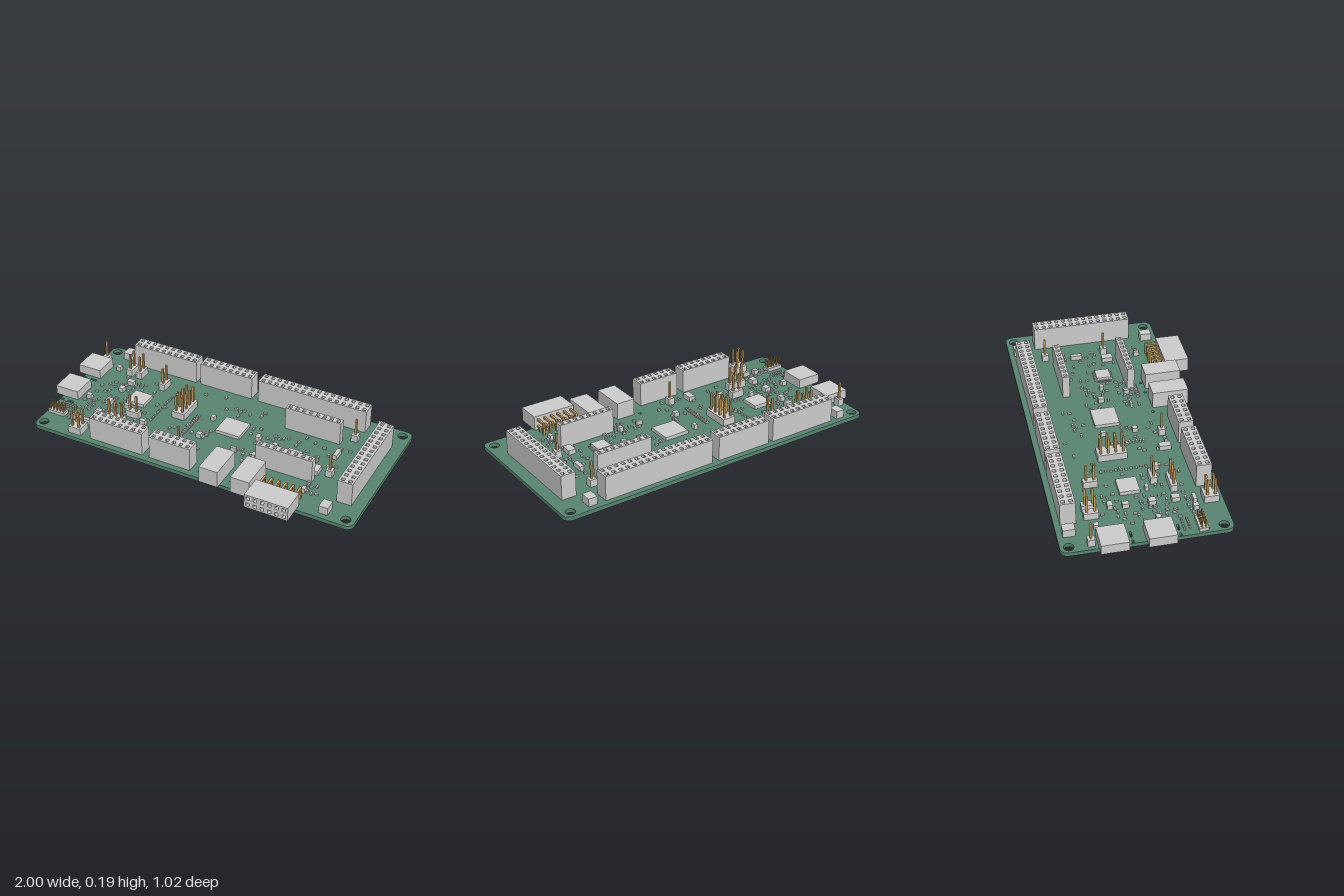
import * as THREE from 'three';
import { mergeGeometries } from 'three/addons/utils/BufferGeometryUtils.js';

const grey = new THREE.MeshStandardMaterial({ color: 0xcccccc });
const green = new THREE.MeshStandardMaterial({ color: 0x588571 });
const gold = new THREE.MeshStandardMaterial({ color: 0xc8a060 });
const TOP = 0.05, BOTTOM = 0.027, PITCH = 0.0417;

// Box given by its limits on each axis
function slab(x0, x1, y0, y1, z0, z1) {
  return new THREE.BoxGeometry(x1 - x0, y1 - y0, z1 - z0)
    .translate((x0 + x1) / 2, (y0 + y1) / 2, (z0 + z1) / 2);
}
const block = (x, z, w, d, y0, y1) => slab(x - w / 2, x + w / 2, y0, y1, z - d / 2, z + d / 2);

function rectPath(target, x, y, w, h) {
  target.moveTo(x - w / 2, y - h / 2);
  target.lineTo(x + w / 2, y - h / 2);
  target.lineTo(x + w / 2, y + h / 2);
  target.lineTo(x - w / 2, y + h / 2);
  target.closePath();
  return target;
}

// Plate with a grid of square holes, extruded along +z
function holedPlate(w, h, cols, rows, depth) {
  const s = rectPath(new THREE.Shape(), 0, 0, w, h);
  for (let i = 0; i < cols; i++) for (let j = 0; j < rows; j++)
    s.holes.push(rectPath(new THREE.Path(), (i - (cols - 1) / 2) * PITCH, (j - (rows - 1) / 2) * PITCH, 0.02, 0.02));
  return new THREE.ExtrudeGeometry(s, { depth, bevelEnabled: false });
}

function createBoard() {
  const x0 = -0.955, x1 = 1, y0 = -0.4, y1 = 0.51, r = 0.04;
  const s = new THREE.Shape();
  s.absarc(x1 - r, y1 - r, r, 0, Math.PI / 2);
  s.absarc(x0 + r, y1 - r, r, Math.PI / 2, Math.PI);
  s.absarc(x0 + r, y0 + r, r, Math.PI, Math.PI * 1.5);
  s.absarc(x1 - r, y0 + r, r, Math.PI * 1.5, Math.PI * 2);
  const hole = (x, z, rad) => s.holes.push(new THREE.Path().absarc(x, -z, rad, 0, Math.PI * 2));
  for (const x of [-0.912, 0.949]) for (const z of [-0.463, 0.35]) hole(x, z, 0.027);
  for (const x of [0.09, 0.28]) for (const z of [0.21, 0.345]) hole(x, z, 0.009);
  hole(0.375, 0.205, 0.009);
  // Slots for the shells of the edge ports
  for (const z of [-0.137, 0.113]) for (const [x, w] of [[-0.94, 0.02], [-0.885, 0.04]])
    s.holes.push(rectPath(new THREE.Path(), x, -z, w, 0.011));
  return new THREE.ExtrudeGeometry(s, { depth: TOP - BOTTOM, bevelEnabled: false, curveSegments: 12 })
    .rotateX(-Math.PI / 2).translate(0, BOTTOM, 0);
}

export function createModel() {
  const model = new THREE.Group();
  const add = (name, geometries, material = grey) => {
    const mesh = new THREE.Mesh(geometries.length ? mergeGeometries(geometries) : geometries, material);
    mesh.name = name;
    model.add(mesh);
    return mesh;
  };
  const eachPin = (x, z, cols, rows, pitch, fn) => {
    for (let i = 0; i < cols; i++) for (let j = 0; j < rows; j++)
      fn(x + (i - (cols - 1) / 2) * pitch, z + (j - (rows - 1) / 2) * pitch);
  };

  add('circuitBoard', createBoard(), green);

  // Female sockets: centre x, centre z, columns, rows
  const sockets = [
    [-0.537, -0.436, 10, 2], [-0.131, -0.436, 8, 2], [0.414, -0.436, 16, 2],
    [0.888, -0.056, 2, 14], [-0.427, 0.324, 8, 2], [-0.088, 0.324, 6, 2],
    [0.498, -0.247, 8, 1], [0.498, 0.134, 8, 1],
  ];
  const tails = [];
  const tail = (x, z) => tails.push(block(x, z, 0.01, 0.01, 0.002, BOTTOM));
  for (const [x, z, cols, rows] of sockets) {
    const w = cols * PITCH + 0.002, d = rows * PITCH;
    add('socketBase', [block(x, z, w, d, TOP, 0.165)]);
    add('socketTop', holedPlate(w, d, cols, rows, 0.026).rotateX(-Math.PI / 2).translate(x, 0.165, z));
    eachPin(x, z, cols, rows, PITCH, tail);
  }

  // Male pin headers: centre x, centre z, columns, rows
  const headers = [
    [-0.716, -0.311, 1, 2], [-0.652, -0.311, 1, 2], [-0.47, -0.267, 1, 2],
    [-0.55, 0.161, 3, 1], [-0.487, 0.07, 2, 1], [-0.695, 0.332, 2, 2], [-0.914, -0.349, 1, 1],
    [0.727, -0.305, 1, 1], [0.727, 0.05, 1, 1], [-0.115, 0.21, 1, 1], [-0.248, -0.104, 2, 4],
  ];
  const bodies = [], pins = [];
  for (const [x, z, cols, rows] of headers) {
    bodies.push(block(x, z, cols * PITCH - 0.003, rows * PITCH - 0.003, TOP, 0.092));
    eachPin(x, z, cols, rows, PITCH, (px, pz) => pins.push(block(px, pz, 0.0115, 0.0115, 0.002, 0.192)));
  }
  // Fine pitch header by the left corner
  bodies.push(block(-0.889, 0.236, 0.104, 0.05, TOP, 0.07));
  eachPin(-0.889, 0.236, 5, 2, 0.021, (x, z) => pins.push(block(x, z, 0.007, 0.007, 0.012, 0.118)));
  add('headerBodies', bodies);
  add('headerPins', pins, gold);
  add('socketTails', tails, gold);

  // Side ports and front ports
  for (const z of [-0.24, 0.008]) add('sidePort', [slab(-1, -0.855, TOP, 0.106, z - 0.074, z + 0.074)]);
  for (const x of [0.182, 0.369]) add('frontPort', [slab(x - 0.056, x + 0.056, TOP, 0.15, 0.217, 0.425)]);
  const portTails = [];
  for (const x of [0.182, 0.369]) eachPin(x, 0.28, 2, 2, 0.07, (px, pz) => portTails.push(block(px, pz, 0.008, 0.008, 0.006, BOTTOM)));
  add('portTails', portTails, gold);

  // Right-angle socket on the front edge with bent pins behind it
  add('edgeSocketBase', [slab(0.436, 0.688, 0.054, 0.138, 0.366, 0.475)]);
  add('edgeSocketFace', holedPlate(0.252, 0.084, 6, 2, 0.031).translate(0.562, 0.096, 0.475));
  const bent = [];
  for (let i = 0; i < 6; i++) {
    const x = 0.562 + (i - 2.5) * PITCH;
    for (const [z, y] of [[0.302, 0.117], [0.344, 0.075]])
      bent.push(slab(x - 0.006, x + 0.006, y - 0.006, y + 0.006, z, 0.37), block(x, z, 0.012, 0.012, 0.004, y + 0.006));
  }
  add('edgeSocketPins', bent, gold);

  // Corner push buttons
  for (const [x, z] of [[-0.813, -0.447], [0.825, -0.447], [0.825, 0.332]])
    add('button', [block(x, z, 0.052, 0.066, TOP, 0.096)]);

  // Large chips: centre x, centre z, width, depth, top
  for (const [x, z, w, d, h] of [
    [-0.53, -0.075, 0.113, 0.112, 0.075], [0.078, -0.073, 0.15, 0.142, 0.073], [0.484, -0.002, 0.084, 0.084, 0.073],
  ]) add('chip', [block(x, z, w, d, TOP + 0.003, h)]);
  const leads = [];
  for (let i = -4; i <= 4; i++) for (const s of [-1, 1]) {
    leads.push(block(0.484 + i * 0.009, -0.002 + s * 0.047, 0.004, 0.016, TOP, 0.058));
    leads.push(block(0.484 + s * 0.047, -0.002 + i * 0.009, 0.016, 0.004, TOP, 0.058));
  }
  add('chipLeads', leads);

  // Medium surface parts: centre x, centre z, width, depth
  const medium = [
    [-0.242, 0.198, 0.04, 0.066], [0.648, 0.057, 0.044, 0.064], [0.695, -0.122, 0.024, 0.068],
    [-0.674, 0.024, 0.036, 0.04], [-0.674, -0.118, 0.028, 0.036], [-0.674, 0.15, 0.036, 0.044],
    [-0.807, 0.028, 0.03, 0.026], [-0.695, 0.247, 0.05, 0.02], [-0.66, -0.2, 0.04, 0.03],
    [-0.8, -0.3, 0.028, 0.028], [-0.76, 0.24, 0.03, 0.03], [-0.065, -0.11, 0.022, 0.03],
    [-0.06, 0.07, 0.03, 0.03], [0.245, -0.06, 0.025, 0.035], [0.36, -0.035, 0.03, 0.022],
    [-0.4, 0.11, 0.035, 0.025], [0.295, 0.1, 0.022, 0.03], [0.17, 0.1, 0.036, 0.014],
    [0.66, 0.24, 0.02, 0.032], [-0.56, 0.02, 0.03, 0.02],
  ];
  add('mediumParts', medium.map(([x, z, w, d]) => block(x, z, w, d, TOP, 0.078)));

  // Tiny resistors and capacitors: neat columns, then clusters
  const tiny = [];
  for (let i = 0; i < 10; i++) {
    tiny.push(block(-0.155, -0.1 + i * 0.02, 0.022, 0.011, TOP, 0.06));
    tiny.push(block(-0.378, -0.19 + i * 0.028, 0.011, 0.014, TOP, 0.06));
    tiny.push(block(-0.87, 0.14 + (i % 2) * 0.03, 0.012, 0.008, TOP, 0.06).translate(i * 0.009 - 0.04, 0, 0));
  }
  for (let i = 0; i < 6; i++) tiny.push(block(0.25 + i * 0.022, 0.16, 0.01, 0.022, TOP, 0.06));
  let seed = 7;
  const random = () => (seed = (seed * 16807) % 2147483647) / 2147483647;
  const occupied = [...medium, ...headers.map(([x, z, c, r]) => [x, z, c * PITCH, r * PITCH]),
    ...sockets.map(([x, z, c, r]) => [x, z, c * PITCH, r * PITCH]),
    [-0.53, -0.075, 0.12, 0.12], [0.078, -0.073, 0.15, 0.15], [0.484, 0, 0.12, 0.12]];
  // Cluster regions: x range, z range, count
  for (const [x0, x1, z0, z1, n] of [
    [-0.82, -0.6, -0.25, 0.26, 60], [-0.6, -0.36, -0.27, 0.25, 34], [-0.28, 0, 0, 0.25, 18],
    [0.17, 0.42, -0.16, 0.15, 42], [0.42, 0.75, -0.2, 0.1, 30], [-0.32, 0.2, -0.34, -0.2, 14], [0.6, 0.77, 0.12, 0.26, 9],
  ]) for (let i = 0; i < n; i++) {
    const x = x0 + random() * (x1 - x0), z = z0 + random() * (z1 - z0), turn = random() < 0.5;
    const w = turn ? 0.02 : 0.011, d = turn ? 0.011 : 0.02;
    if (occupied.some(([a, b, p, q]) => Math.abs(x - a) < (p + w) / 2 && Math.abs(z - b) < (q + d) / 2)) continue;
    occupied.push([x, z, w + 0.006, d + 0.006]);
    tiny.push(block(x, z, w, d, TOP, 0.06));
  }
  add('tinyParts', tiny);

  // Tiny parts under the main chip
  const under = [];
  for (let i = 0; i < 26; i++) {
    const x = -0.03 + random() * 0.25, z = -0.17 + random() * 0.25, turn = random() < 0.5;
    under.push(block(x, z, turn ? 0.02 : 0.01, turn ? 0.01 : 0.02, 0.017, BOTTOM));
  }
  add('undersideParts', under);
  return model;
}
